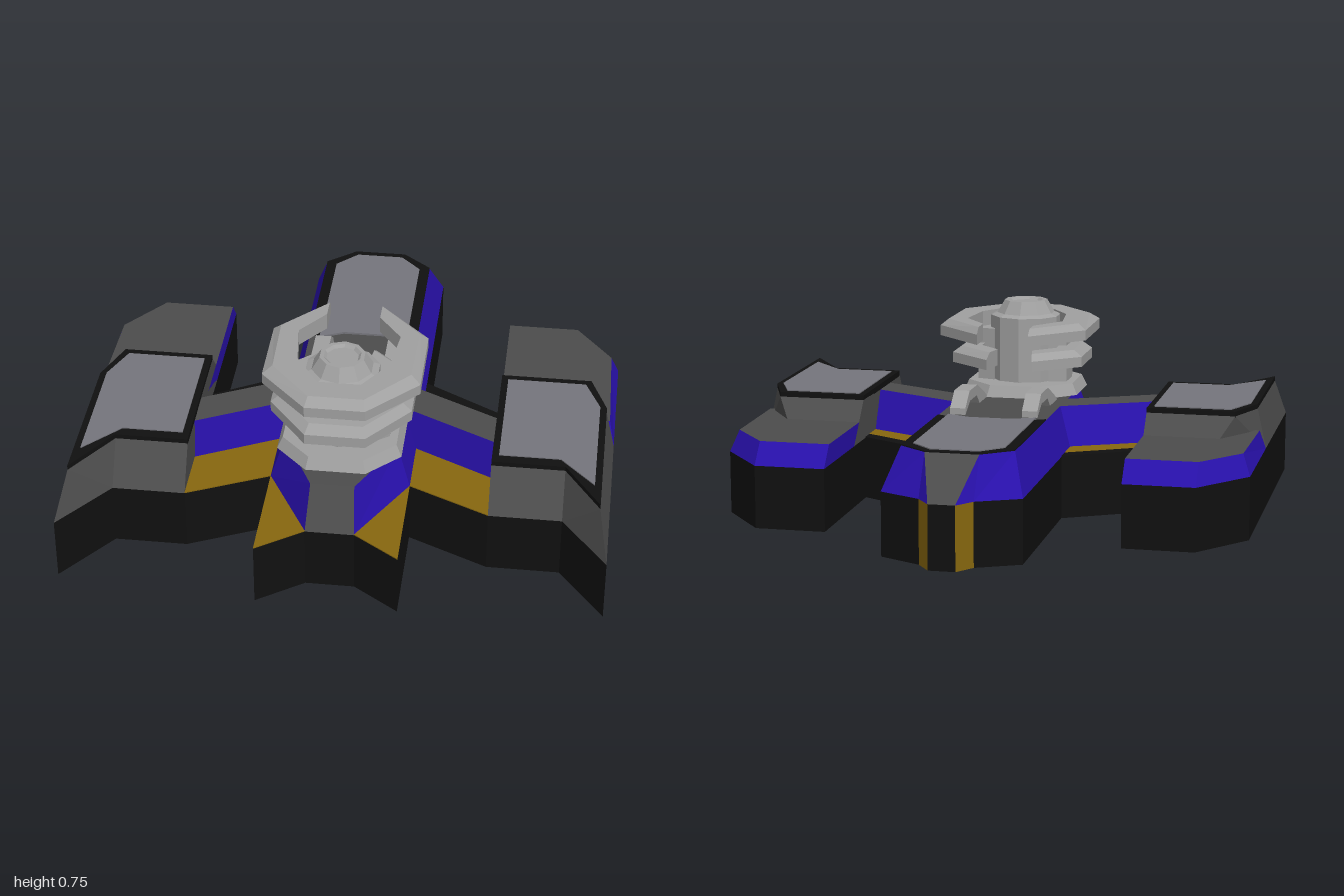
import * as THREE from 'three';

const mat = (name, color) => {
  const m = new THREE.MeshStandardMaterial({ color });
  m.name = name;
  return m;
};
const M = {
  black: mat('black', 0x101010),
  gray: mat('dark gray', 0x4c4c4c),
  blue: mat('blue', 0x2810aa),
  ochre: mat('ochre', 0x87670f),
  glass: mat('panel gray', 0x75757c),
  light: mat('light gray', 0xa0a0a0),
};

function fromTriangles(points) {
  const g = new THREE.BufferGeometry();
  g.setAttribute('position', new THREE.Float32BufferAttribute(points.flat(), 3));
  g.computeVertexNormals();
  return g;
}

// Complete a +x half outline (rear to front) with its mirror image
const both = half => [...half, ...half.map(([x, z]) => [-x, z]).reverse()];

// Prism between two [x, z] outlines; one colour per side, last entry repeats
function loft(lower, y0, upper, y1, sides, top) {
  const mats = [...new Set([...sides, top])];
  const buckets = mats.map(() => []);
  const n = lower.length;
  const L = lower.map(([x, z]) => [x, y0, z]);
  const U = upper.map(([x, z]) => [x, y1, z]);
  for (let i = 0; i < n; i++) {
    const j = (i + 1) % n;
    const m = sides[Math.min(i, sides.length - 1)];
    buckets[mats.indexOf(m)].push(L[i], U[i], L[j], U[i], U[j], L[j]);
  }
  const cap = (ring, up, bucket) => {
    const flat = ring.map(p => new THREE.Vector2(p[0], p[2]));
    for (const [a, b, c] of THREE.ShapeUtils.triangulateShape(flat, [])) {
      const area = (flat[b].x - flat[a].x) * (flat[c].y - flat[a].y)
        - (flat[b].y - flat[a].y) * (flat[c].x - flat[a].x);
      const down = area > 0;
      bucket.push(...(down === up ? [ring[a], ring[c], ring[b]] : [ring[a], ring[b], ring[c]]));
    }
  };
  cap(U, true, buckets[mats.indexOf(top)]);
  cap(L, false, buckets[mats.indexOf(top)]);
  const g = fromTriangles(buckets.flat());
  let start = 0;
  buckets.forEach((b, i) => {
    g.addGroup(start, b.length, i);
    start += b.length;
  });
  return new THREE.Mesh(g, mats);
}
const prism = (pts, y0, y1, m) => loft(pts, y0, pts, y1, [m], m);

// Mirror a triangle-soup mesh across x, keeping faces outward
function mirrored(mesh) {
  const p = mesh.geometry.attributes.position;
  const pts = [];
  for (let i = 0; i < p.count; i += 3)
    for (const k of [2, 1, 0]) pts.push([-p.getX(i + k), p.getY(i + k), p.getZ(i + k)]);
  const g = fromTriangles(pts);
  mesh.geometry.groups.forEach(r => g.addGroup(r.start, r.count, r.materialIndex));
  return new THREE.Mesh(g, mesh.material);
}

// Open bevelled ring swept along matching outer and inner outlines
function openRing(outer, inner, y0, y1, y2) {
  const O = both(outer), I = both(inner);
  const secs = O.map(([x, z], i) => {
    const [u, w] = I[i];
    const s = [x + (u - x) * 0.3, z + (w - z) * 0.3];
    return [[x, y0, z], [x, y1, z], [s[0], y2, s[1]], [u, y2, w], [u, y0, w]];
  });
  const tri = [];
  for (let i = 0; i < secs.length - 1; i++)
    for (let k = 0; k < 5; k++) {
      const a = secs[i][k], b = secs[i][(k + 1) % 5];
      const c = secs[i + 1][k], d = secs[i + 1][(k + 1) % 5];
      tri.push(a, b, c, b, d, c);
    }
  const s = secs[0], e = secs[secs.length - 1];
  for (let k = 1; k < 4; k++) tri.push(s[0], s[k + 1], s[k], e[0], e[k], e[k + 1]);
  return new THREE.Mesh(fromTriangles(tri), M.light);
}

export function createModel() {
  const root = new THREE.Group();
  const add = (name, mesh) => {
    mesh.name = name;
    root.add(mesh);
  };
  const pair = (name, mesh) => {
    add(name + 'Left', mesh);
    add(name + 'Right', mirrored(mesh));
  };
  const T = 0.24, H = 0.39;

  // Black lower hull with grey underside
  const base = both([[0.10, -0.90], [0.26, -0.82], [0.26, -0.12], [0.56, 0.05], [0.56, -0.52],
    [0.83, -0.52], [1, -0.30], [1, 0.91], [0.83, 0.68], [0.56, 0.68], [0.26, 0.54],
    [0.26, 0.97], [0.09, 0.85]]);
  add('lowerHull', loft(base, 0, base, T, [M.black], M.gray));
  const tip = both([[0.05, -0.97], [0.10, -0.90]]);
  add('tailTip', loft(tip, 0, tip, T, [M.ochre, M.black, M.ochre, M.black], M.gray));

  // Deck plates
  pair('deckPlate', prism([[0.26, -0.06], [0.56, 0.11], [0.56, 0.68], [0.26, 0.54]], T, T + 0.004, M.ochre));
  pair('deckEdge', prism([[0.26, -0.12], [0.56, 0.05], [0.56, 0.11], [0.26, -0.06]], T, T + 0.004, M.black));
  pair('bowPlate', prism([[0.26, 0.54], [0.26, 0.97], [0.09, 0.85]], T, T + 0.004, M.ochre));

  // Central upper hull, tail to bow
  add('upperHull', loft(
    both([[0.05, -0.97], [0.10, -0.90], [0.26, -0.82], [0.26, 0.54], [0.09, 0.85]]), T,
    both([[0.10, -0.81], [0.10, -0.81], [0.21, -0.72], [0.21, 0.50], [0.08, 0.76]]), H,
    [M.blue, M.blue, M.blue, M.blue, M.gray, M.blue, M.blue, M.blue, M.blue, M.gray], M.gray));
  add('tailFrame', prism(both([[0.10, -0.81], [0.21, -0.72], [0.21, -0.17], [0.095, -0.235]]), H, H + 0.004, M.black));
  add('tailPanel', prism(both([[0.09, -0.78], [0.17, -0.70], [0.17, -0.17], [0.08, -0.21]]), H, H + 0.008, M.glass));

  // Swept arms joining the side pods
  pair('arm', loft([[0.10, -0.03], [0.56, 0.20], [0.56, 0.46], [0.10, 0.23]], T,
    [[0.10, 0.05], [0.56, 0.28], [0.56, 0.43], [0.10, 0.20]], H, [M.blue], M.gray));

  // Side pods: low rear block, raised front block, framed panel
  pair('podRear', loft([[0.56, -0.52], [0.83, -0.52], [1, -0.30], [1, 0.20], [0.56, 0.20]], T,
    [[0.56, -0.45], [0.83, -0.45], [0.97, -0.27], [0.98, 0.15], [0.56, 0.15]], 0.32, [M.blue], M.gray));
  pair('podFront', loft(
    [[0.56, -0.11], [0.80, -0.11], [1, 0.20], [1, 0.91], [0.83, 0.68], [0.56, 0.68]], T,
    [[0.56, 0.03], [0.90, 0.03], [0.965, 0.20], [0.965, 0.79], [0.83, 0.58], [0.56, 0.58]], 0.395,
    [M.gray], M.gray));
  pair('podFrame', prism([[0.56, 0.03], [0.90, 0.03], [0.965, 0.20], [0.965, 0.79], [0.83, 0.58], [0.56, 0.58]],
    0.39, 0.413, M.black));
  pair('podPanel', prism([[0.585, 0.06], [0.88, 0.06], [0.94, 0.20], [0.94, 0.68], [0.81, 0.54], [0.585, 0.54]],
    0.412, 0.417, M.glass));

  // Turret foot, drum and cap
  const octagon = (x, z0, z1, c) => both([[x - c, z0], [x, z0 + c], [x, z1 - c], [x - c, z1]]);
  add('turretFoot', loft(octagon(0.23, 0.22, 0.68, 0.12), H, octagon(0.21, 0.24, 0.66, 0.11), 0.435, [M.light], M.light));
  const lathe = new THREE.LatheGeometry([[0.14, 0.39], [0.14, 0.69], [0.115, 0.70], [0.085, 0.75],
    [0.07, 0.75], [0.06, 0.74], [0, 0.74]].map(p => new THREE.Vector2(...p)), 10).toNonIndexed();
  lathe.computeVertexNormals();
  const drum = new THREE.Mesh(lathe, M.light);
  drum.position.z = 0.45;
  add('turretDrum', drum);
  pair('turretPost', prism([[0.11, 0.36], [0.18, 0.38], [0.18, 0.50], [0.11, 0.55]], 0.42, 0.64, M.light));

  // Claw rings, open toward the tail
  add('lowerRing', openRing([[0.09, 0.13], [0.26, 0.28], [0.26, 0.50], [0.11, 0.69]],
    [[0.07, 0.24], [0.15, 0.32], [0.15, 0.46], [0.07, 0.56]], 0.515, 0.555, 0.58));
  add('upperRing', openRing([[0.10, 0.01], [0.29, 0.20], [0.29, 0.50], [0.11, 0.69]],
    [[0.10, 0.12], [0.19, 0.24], [0.17, 0.42], [0.08, 0.56]], 0.635, 0.675, 0.70));

  // Arched struts behind the turret
  const arch = new THREE.Shape([[-0.14, 0.39], [-0.06, 0.43], [0.05, 0.43], [0.10, 0.39], [0.24, 0.39],
    [0.18, 0.42], [0.06, 0.47], [-0.07, 0.47], [-0.14, 0.415]].map(p => new THREE.Vector2(...p)));
  for (const [name, x] of [['strutLeft', 0.11], ['strutRight', -0.17]]) {
    const g = new THREE.ExtrudeGeometry(arch, { depth: 0.06, bevelEnabled: false });
    g.rotateY(-Math.PI / 2).translate(x + 0.06, 0, 0);
    add(name, new THREE.Mesh(g, M.light));
  }
  return root;
}
